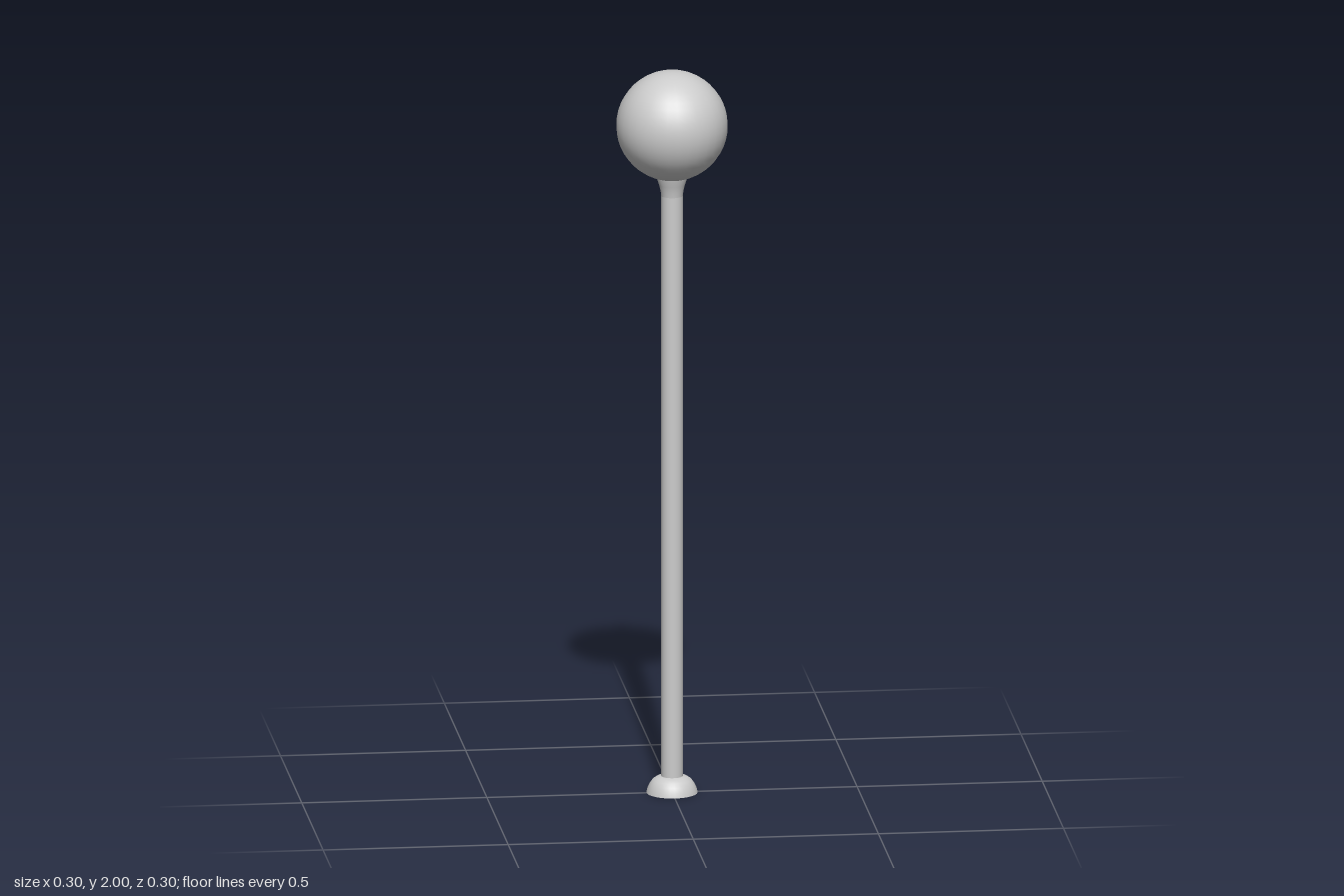
import * as THREE from 'three';

export function createModel() {
  const group = new THREE.Group();
  const material = new THREE.MeshStandardMaterial({ color: 0xcccccc });

  const add = (name, geometry, y = 0) => {
    const mesh = new THREE.Mesh(geometry, material);
    mesh.name = name;
    mesh.position.y = y;
    group.add(mesh);
  };
  // Profile points are [radius, height], from bottom to top
  const lathe = (points) =>
    new THREE.LatheGeometry(points.map(([r, y]) => new THREE.Vector2(r, y)), 32);

  // Domed foot with a flat underside
  add('foot', lathe([[0.069, 0], [0.066, 0.012], [0.06, 0.025], [0.052, 0.036], [0.041, 0.043], [0.028, 0.046]]));
  const underside = new THREE.CircleGeometry(0.069, 32);
  underside.rotateX(Math.PI / 2);
  add('footUnderside', underside);

  // Slender round pole
  add('pole', new THREE.CylinderGeometry(0.029, 0.029, 1.64, 32, 1, true), 0.85);

  // Flared collar that cups the globe
  add('collar', lathe([[0.029, 1.655], [0.031, 1.67], [0.035, 1.686], [0.04, 1.701], [0.042, 1.712]]));

  // Globe
  add('globe', new THREE.SphereGeometry(0.15, 32, 24), 1.85);

  return group;
}
